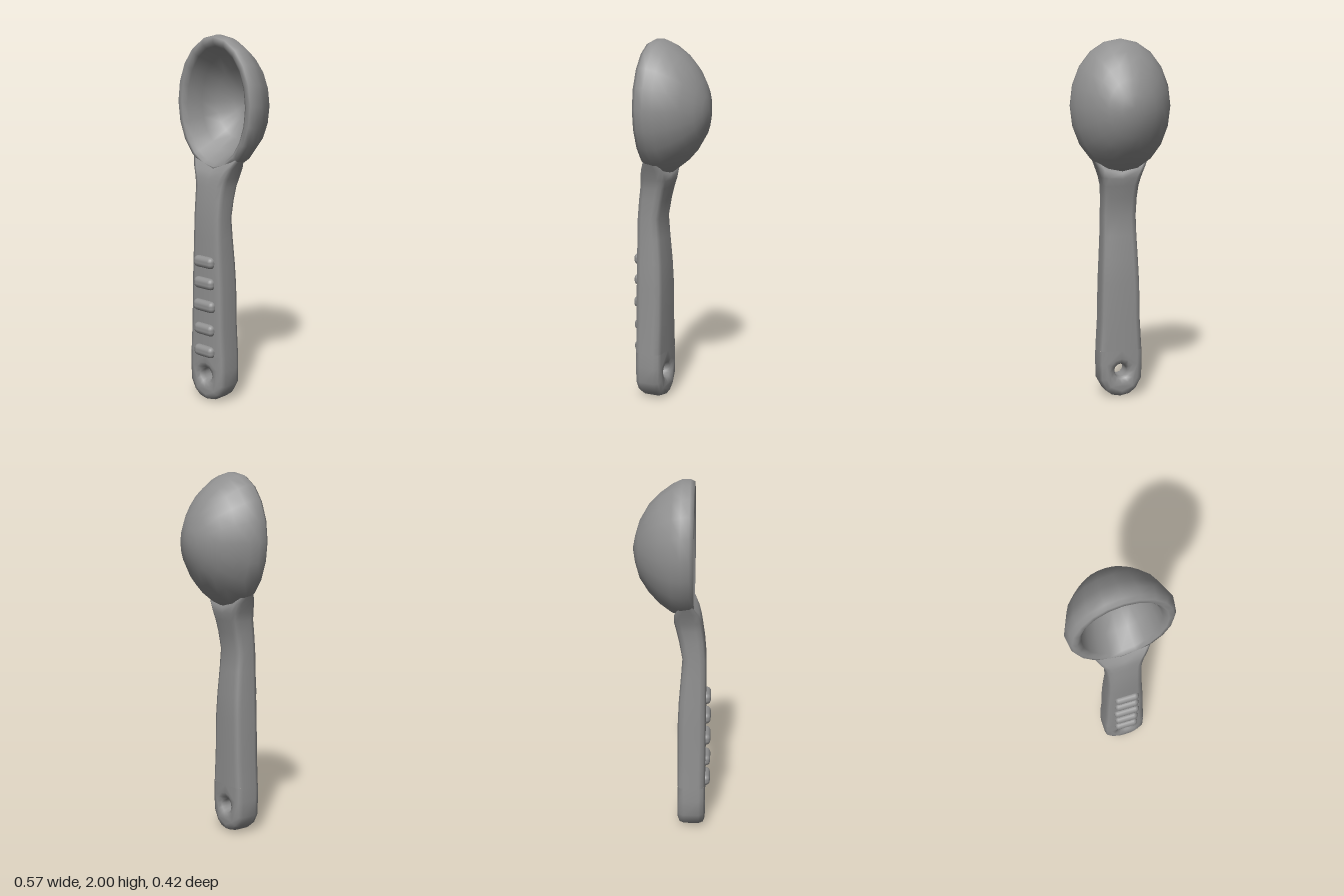
import * as THREE from 'three';
import { mergeVertices, mergeGeometries } from 'three/addons/utils/BufferGeometryUtils.js';
import { RoundedBoxGeometry } from 'three/addons/geometries/RoundedBoxGeometry.js';

const material = new THREE.MeshStandardMaterial({ color: 0x909090 });
const BEVEL = 0.035;

// Skin a list of closed rings (arrays of [x, y, z]) as loose triangles
function loft(rings) {
  const pos = [];
  const n = rings[0].length;
  for (let i = 0; i < rings.length - 1; i++) {
    for (let j = 0; j < n; j++) {
      const k = (j + 1) % n;
      const a = rings[i][j], b = rings[i][k], c = rings[i + 1][k], d = rings[i + 1][j];
      pos.push(...a, ...b, ...c, ...a, ...c, ...d);
    }
  }
  return fromPositions(pos);
}

function fromPositions(pos) {
  const g = new THREE.BufferGeometry();
  g.setAttribute('position', new THREE.Float32BufferAttribute(pos, 3));
  return g;
}

// Weld corners and give smooth normals
function smooth(geometry) {
  const g = mergeVertices(geometry, 1e-4);
  g.computeVertexNormals();
  return g;
}

// Hollow bowl: back pole, outer shell, rim, inner shell
function bowlGeometry() {
  const rows = [ // z, half width, bottom y, top y
    [-0.212, 0, 1.63, 1.63], [-0.198, 0.065, 1.55, 1.7], [-0.174, 0.13, 1.47, 1.78],
    [-0.125, 0.185, 1.395, 1.865], [-0.068, 0.236, 1.335, 1.925], [0, 0.264, 1.285, 1.975],
    [0.048, 0.283, 1.276, 1.997], [0.092, 0.277, 1.28, 1.998], [0.114, 0.262, 1.29, 1.987],
    [0.115, 0.235, 1.303, 1.96], [0.095, 0.21, 1.318, 1.94], [0, 0.195, 1.37, 1.895],
    [-0.08, 0.155, 1.44, 1.815], [-0.135, 0.08, 1.54, 1.72], [-0.15, 0, 1.63, 1.63],
  ];
  const sides = 20;
  return smooth(loft(rows.map(([z, w, y0, y1]) => Array.from({ length: sides }, (_, i) => {
    const a = (i / sides) * Math.PI * 2;
    return [w * Math.cos(a), (y0 + y1) / 2 + (y1 - y0) / 2 * Math.sin(a), z];
  }))));
}

// Bevelled section of the handle; lift curls its sides upward
function section([y, w, front, back, lift = 0]) {
  const s = BEVEL * Math.SQRT1_2;
  const half = [
    [w - BEVEL, front], [w - BEVEL + s, front - BEVEL + s], [w, front - BEVEL],
    [w, back + BEVEL], [w - BEVEL + s, back + BEVEL - s], [w - BEVEL, back],
  ];
  const mid = (z) => [0, y, z]; // centre points keep the curled neck low in the middle
  const side = (sign) => half.map(([x, z]) => [sign * x, y + lift * (x / w) ** 2, z]);
  return [mid(front), ...side(1), mid(back), ...side(-1).reverse()];
}

function handleGeometry() {
  const top = 0.27, front = 0.185, back = 0.03;
  // Rounded end with a flared hanging hole
  const right = [[0.05, 0.01], [0.09, 0.04], [0.123, 0.1], [0.125, 0.19], [0.124, top]];
  const shape = new THREE.Shape([
    [0, 0], ...right, [0, top], ...right.slice().reverse().map(([x, y]) => [-x, y]),
  ].map((p) => new THREE.Vector2(...p)));
  shape.holes.push(new THREE.Path().absarc(0, 0.15, 0.036, 0, Math.PI * 2, true));
  const end = new THREE.ExtrudeGeometry(shape, {
    depth: front - back - 2 * BEVEL, curveSegments: 6, bevelSegments: 2,
    bevelSize: BEVEL, bevelThickness: BEVEL, bevelOffset: -BEVEL,
  });
  end.translate(0, 0, back + BEVEL);
  // Square off the upper edge and leave it open to join the shaft
  const p = end.attributes.position;
  const kept = [];
  for (let i = 0; i < p.count; i += 3) {
    const tri = [0, 1, 2].map((k) => {
      const y = p.getY(i + k);
      return [p.getX(i + k), y > top - BEVEL - 0.002 ? top : y, p.getZ(i + k)];
    });
    if (!tri.every((v) => v[1] === top)) kept.push(...tri.flat());
  }
  // Shaft, bending back and flaring up around the underside of the bowl
  const rows = [ // y, half width, front z, back z, side lift
    [top, 0.124, front, back], [0.44, 0.114, 0.185, 0.03], [0.65, 0.11, 0.185, 0.03],
    [0.78, 0.104, 0.185, 0.035], [0.92, 0.098, 0.185, 0.046], [1.03, 0.096, 0.183, 0.054],
    [1.13, 0.097, 0.174, 0.036], [1.2, 0.102, 0.163, 0.02], [1.24, 0.114, 0.155, 0.01, 0.008],
    [1.27, 0.137, 0.142, 0.01, 0.035], [1.295, 0.168, 0.113, 0.033, 0.075],
  ];
  return smooth(mergeGeometries([fromPositions(kept), loft(rows.map(section))]));
}

export function createModel() {
  const group = new THREE.Group();
  group.name = 'spoon';
  const add = (name, geometry) => {
    const mesh = new THREE.Mesh(geometry, material);
    mesh.name = name;
    group.add(mesh);
    return mesh;
  };

  add('bowl', bowlGeometry());
  add('handle', handleGeometry());

  // Grip ridges across the front of the handle, the middle one slightly wider
  [0.29, 0.415, 0.548, 0.675, 0.793].forEach((y, i) => {
    const ridge = new RoundedBoxGeometry(i === 2 ? 0.152 : 0.14, 0.064, 0.07, 2, 0.026);
    add(`gripRidge${i + 1}`, ridge).position.set(0.002, y, 0.177);
  });
  return group;
}
